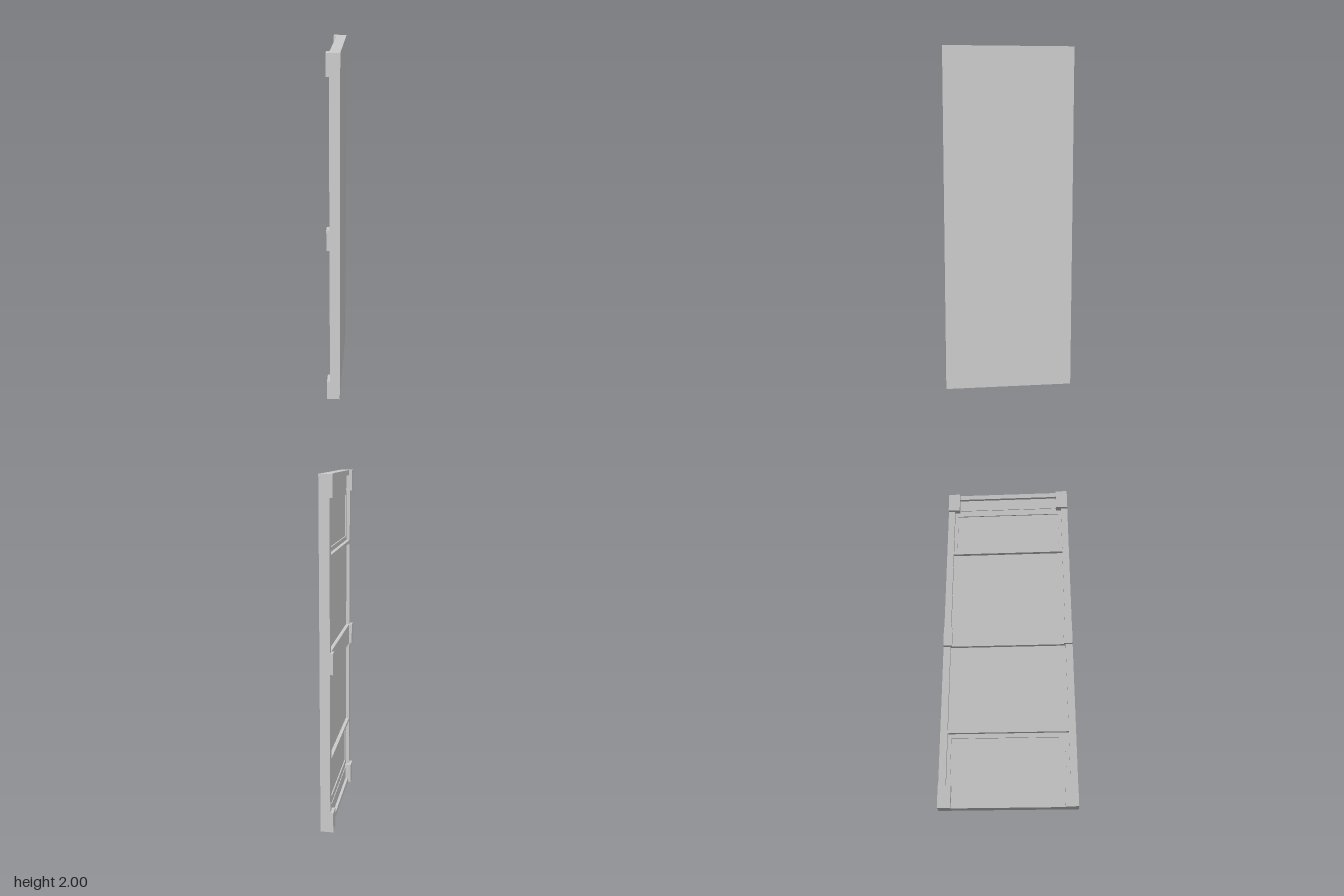
import * as THREE from 'three';

const HALF_W = 0.375, HEIGHT = 2;
const BACK = 0.037, PANEL = 0.007, FIELD = 0, FRAME = -0.02, BLOCK = -0.037;

const material = new THREE.MeshStandardMaterial({ color: 0xcccccc, flatShading: true });

// Rectangle in (z, y), drawn onto a Shape or Path
function rect(path, halfW, y0, y1) {
  path.moveTo(-halfW, y0);
  path.lineTo(halfW, y0);
  path.lineTo(halfW, y1);
  path.lineTo(-halfW, y1);
  path.closePath();
  return path;
}

// Full-size sheet from x0 (rear) out to x1 (towards -x), with openings
function sheet(name, x0, x1, openings) {
  const shape = rect(new THREE.Shape(), HALF_W, 0, HEIGHT);
  for (const [halfW, y0, y1] of openings) shape.holes.push(rect(new THREE.Path(), halfW, y0, y1));
  const geometry = new THREE.ExtrudeGeometry(shape, { depth: x0 - x1, bevelEnabled: false });
  geometry.rotateY(-Math.PI / 2).translate(x0, 0, 0);
  const mesh = new THREE.Mesh(geometry, material);
  mesh.name = name;
  return mesh;
}

// Mirror [halfWidth, y0, y1] openings about mid height
const mirrored = (list) => list.concat(list.map(([w, a, b]) => [w, HEIGHT - b, HEIGHT - a]));

export function createModel() {
  const group = new THREE.Group();
  group.name = 'door';

  // Flat outer skin
  group.add(sheet('doorSlab', BACK, PANEL, []));

  // Field with two sunken panels
  group.add(sheet('panelField', PANEL, FIELD, mirrored([[0.315, 0.145, 0.39]])));

  // Stiles, thin rails and the wide middle rail
  group.add(sheet('frame', FIELD, FRAME, mirrored([
    [0.335, 0.03, 0.415],
    [0.335, 0.435, 0.94],
  ])));

  // Shallow kick strips beside the end rails
  for (const y of [0.0675, HEIGHT - 0.0675]) {
    const strip = new THREE.Mesh(new THREE.BoxGeometry(0.004, 0.075, 0.67), material);
    strip.name = 'endStrip';
    strip.position.set(FIELD - 0.002, y, 0);
    group.add(strip);
  }

  // Raised blocks at the corners and at mid height
  for (const side of [-1, 1]) {
    for (const [name, y, width] of [['bottomBlock', 0.06, 0.07], ['middleBlock', 1, 0.05], ['topBlock', 1.94, 0.07]]) {
      const block = new THREE.Mesh(new THREE.BoxGeometry(FIELD - BLOCK, 0.12, width), material);
      block.name = name;
      block.position.set((FIELD + BLOCK) / 2, y, side * (HALF_W - width / 2));
      group.add(block);
    }
  }
  return group;
}
